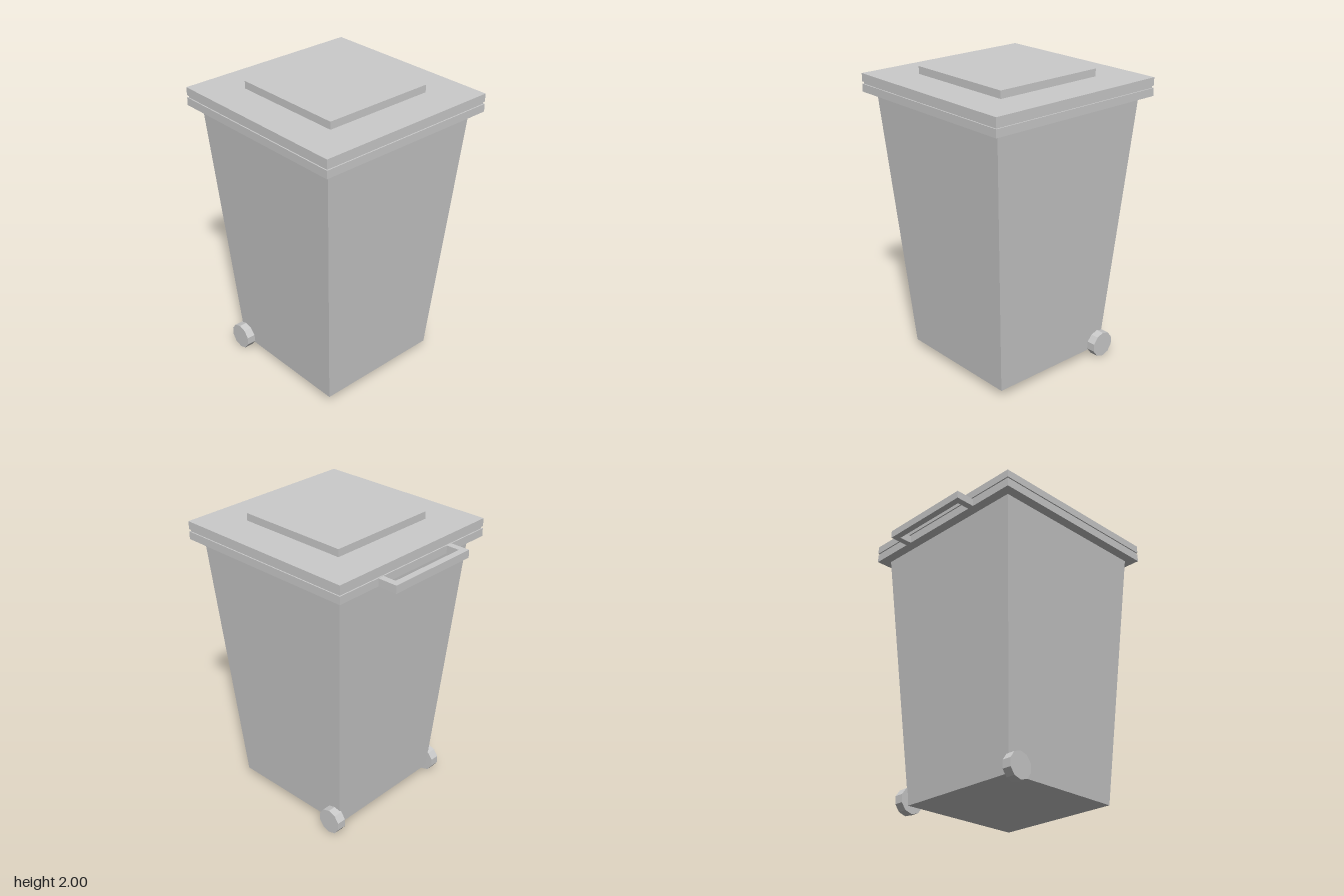
import * as THREE from 'three';

const CX = 0.066; // the bin sits off-centre because of the rear handle

export function createModel() {
  const group = new THREE.Group();
  const material = new THREE.MeshStandardMaterial({ color: 0xcccccc, flatShading: true });

  const add = (name, geometry, x, y, z) => {
    const mesh = new THREE.Mesh(geometry, material);
    mesh.name = name;
    mesh.position.set(x, y, z);
    group.add(mesh);
    return mesh;
  };

  // Square slab between two heights
  const slab = (name, half, y0, y1) =>
    add(name, new THREE.BoxGeometry(half * 2, y1 - y0, half * 2), CX, (y0 + y1) / 2, 0);

  // Tapered body: a box whose lower corners are drawn inwards
  const bodyGeo = new THREE.BoxGeometry(1.166, 1.78, 1.166);
  const pos = bodyGeo.attributes.position;
  for (let i = 0; i < pos.count; i++) {
    if (pos.getY(i) < 0) {
      pos.setX(i, pos.getX(i) * 0.768);
      pos.setZ(i, pos.getZ(i) * 0.768);
    }
  }
  bodyGeo.computeVertexNormals();
  add('body', bodyGeo, CX, 0.94, 0);

  // Rim, recessed seam and lid
  slab('rim', 0.648, 1.83, 1.882);
  slab('lidSeam', 0.64, 1.882, 1.897);
  slab('lid', 0.648, 1.897, 1.95);
  slab('lidPanel', 0.391, 1.95, 2.0);

  // Rear handle: two arms and a grip
  const handleY = 1.855;
  add('handleGrip', new THREE.BoxGeometry(0.044, 0.052, 0.664), -0.694, handleY, 0);
  for (const side of [-1, 1]) {
    add('handleArm', new THREE.BoxGeometry(0.1, 0.052, 0.044), -0.622, handleY, side * 0.31);

    // Ten-sided wheel
    const wheel = new THREE.CylinderGeometry(0.088, 0.088, 0.064, 10);
    wheel.rotateX(Math.PI / 2);
    add('wheel', wheel, -0.349, 0.09, side * 0.481);
  }
  return group;
}
